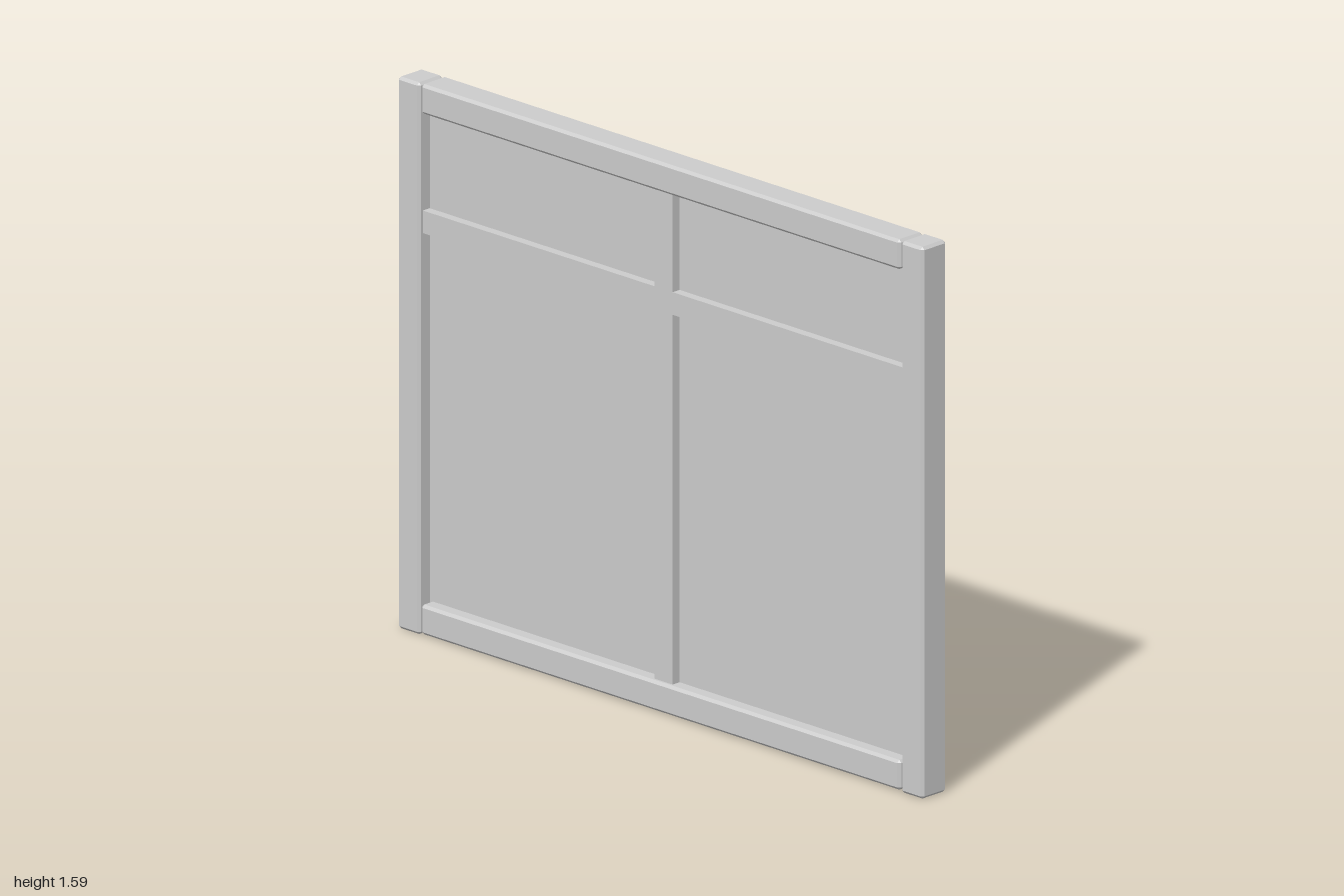
import * as THREE from 'three';
import { ConvexGeometry } from 'three/addons/geometries/ConvexGeometry.js';

const material = new THREE.MeshStandardMaterial({ color: 0xcccccc, flatShading: true });

// Box with every edge and corner cut by a small chamfer
function chamferedBox(w, h, d, b) {
  const half = [w / 2, h / 2, d / 2];
  const points = [];
  for (const sx of [-1, 1]) for (const sy of [-1, 1]) for (const sz of [-1, 1]) {
    for (let axis = 0; axis < 3; axis++) {
      const p = half.map((v, i) => (i === axis ? v : v - b));
      points.push(new THREE.Vector3(sx * p[0], sy * p[1], sz * p[2]));
    }
  }
  return new ConvexGeometry(points);
}

export function createModel() {
  const group = new THREE.Group();
  const add = (name, geometry, x, y) => {
    const mesh = new THREE.Mesh(geometry, material);
    mesh.name = name;
    mesh.position.set(x, y, 0);
    group.add(mesh);
  };

  const height = 1.59, depth = 0.095, chamfer = 0.008;
  const postWidth = 0.084, railHeight = 0.086, innerHalf = 0.912;
  const barDepth = 0.066, barHalf = 0.035;

  // Side posts
  const post = chamferedBox(postWidth, height, depth, chamfer);
  add('leftPost', post, 1 - postWidth / 2, height / 2);
  add('rightPost', post, -1 + postWidth / 2, height / 2);

  // Top and bottom rails between the posts
  const rail = chamferedBox(innerHalf * 2, railHeight, depth, chamfer);
  add('bottomRail', rail, 0, railHeight / 2 + 0.004);
  add('topRail', rail, 0, height - railHeight / 2);

  // Thin pane, its edges let into the frame
  add('pane', new THREE.BoxGeometry(1.86, 1.47, 0.012), 0, height / 2);

  // Glazing bars, flush with each other where they cross
  add('verticalBar', new THREE.BoxGeometry(barHalf * 2, 1.47, barDepth), 0, height / 2);
  const armLength = 0.93 - barHalf;
  for (const [name, side] of [['leftCrossBar', 1], ['rightCrossBar', -1]]) {
    add(name, new THREE.BoxGeometry(armLength, 0.065, barDepth), side * (barHalf + armLength / 2), 1.188);
  }
  return group;
}
